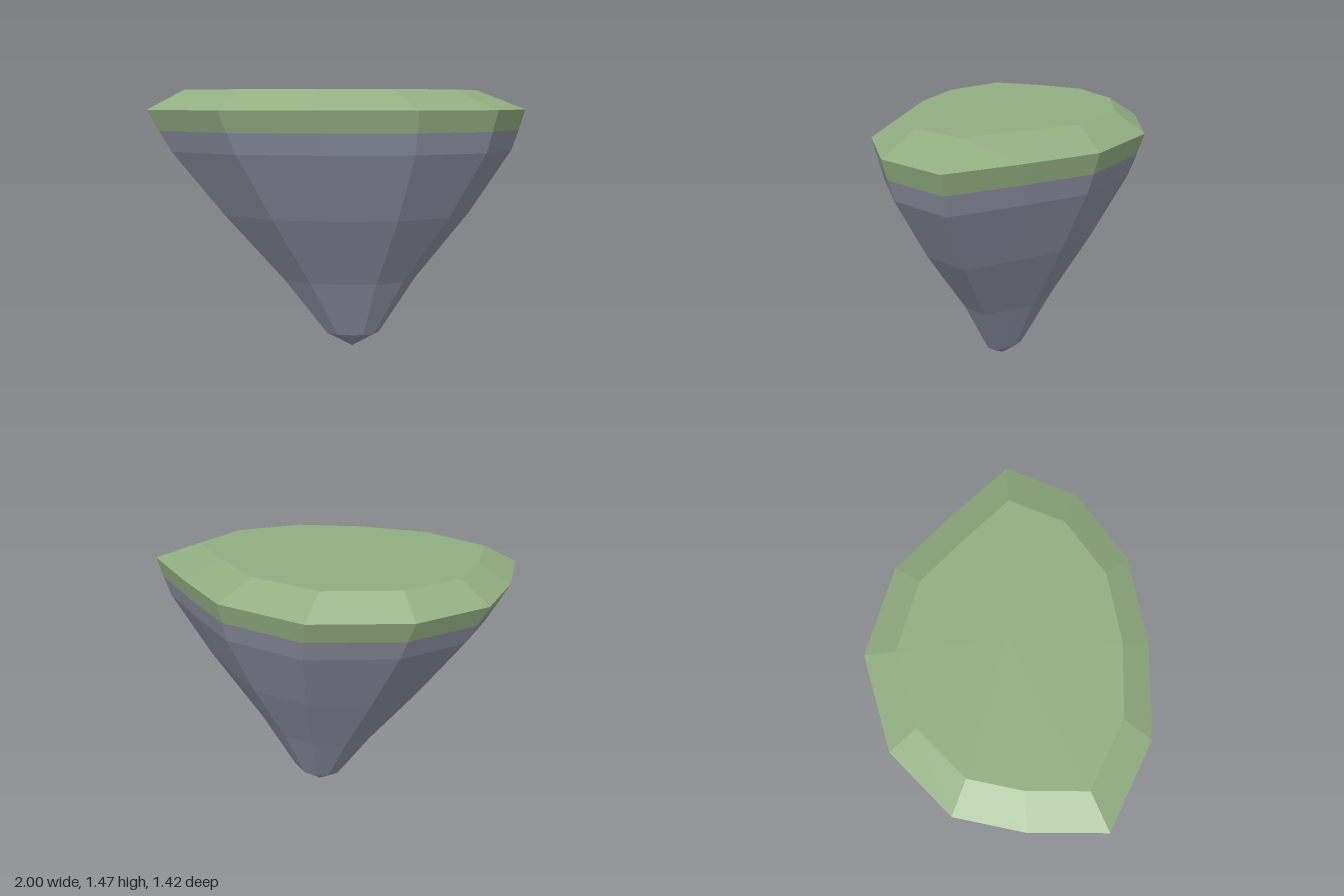
import * as THREE from 'three';

// Rim outline of the island (x, z), running from +x towards +z
const RIM = [
  [1, 0.045], [0.82, 0.41], [0.42, 0.65], [-0.06, 0.71], [-0.565, 0.67], [-1, 0.43],
  [-0.98, 0.045], [-0.89, -0.3], [-0.565, -0.59], [-0.06, -0.715], [0.42, -0.56], [0.71, -0.27],
];

// Cross-sections from top to bottom: the rim scaled and shifted at each height
const GRASS_RINGS = [
  { y: 1.465, s: 0, x: -0.05, z: 0 },
  { y: 1.465, s: 0.777, x: -0.045, z: 0.01 },
  { y: 1.36, s: 1, x: 0, z: 0 },
  { y: 1.25, s: 0.955, x: 0.012, z: 0.003 },
];
const ROCK_RINGS = [
  GRASS_RINGS[3],
  { y: 1.14, s: 0.907, x: 0.024, z: 0.007 },
  { y: 0.79, s: 0.665, x: 0.04, z: 0.018 },
  { y: 0.41, s: 0.365, x: 0.045, z: 0.025 },
  { y: 0.087, s: 0.148, x: 0.057, z: 0.04 },
  { y: 0, s: 0, x: 0.05, z: 0.048 },
];

// Faceted skin between consecutive rings; a ring of scale 0 closes to a point
function loft(rings) {
  const pos = [];
  const point = (r, i) => {
    const [x, z] = RIM[i % RIM.length];
    return [x * r.s + r.x, r.y, z * r.s + r.z];
  };
  for (let k = 0; k < rings.length - 1; k++) {
    const up = rings[k], low = rings[k + 1];
    for (let i = 0; i < RIM.length; i++) {
      const a = point(up, i), b = point(up, i + 1);
      const c = point(low, i), d = point(low, i + 1);
      if (up.s > 0) pos.push(...a, ...b, ...c);
      if (low.s > 0) pos.push(...b, ...d, ...c);
    }
  }
  const geo = new THREE.BufferGeometry();
  geo.setAttribute('position', new THREE.Float32BufferAttribute(pos, 3));
  geo.computeVertexNormals(); // unshared corners give flat facets
  return geo;
}

export function createModel() {
  const grass = new THREE.MeshStandardMaterial({ color: 0x91ad81 });
  grass.name = 'grass green';
  const rock = new THREE.MeshStandardMaterial({ color: 0x8a8e9e });
  rock.name = 'rock grey';

  const island = new THREE.Group();
  island.name = 'floatingIsland';

  // Bevelled turf cap
  const turf = new THREE.Mesh(loft(GRASS_RINGS), grass);
  turf.name = 'grassTop';

  // Tapering rock underside
  const base = new THREE.Mesh(loft(ROCK_RINGS), rock);
  base.name = 'rockBase';

  island.add(turf, base);
  return island;
}
